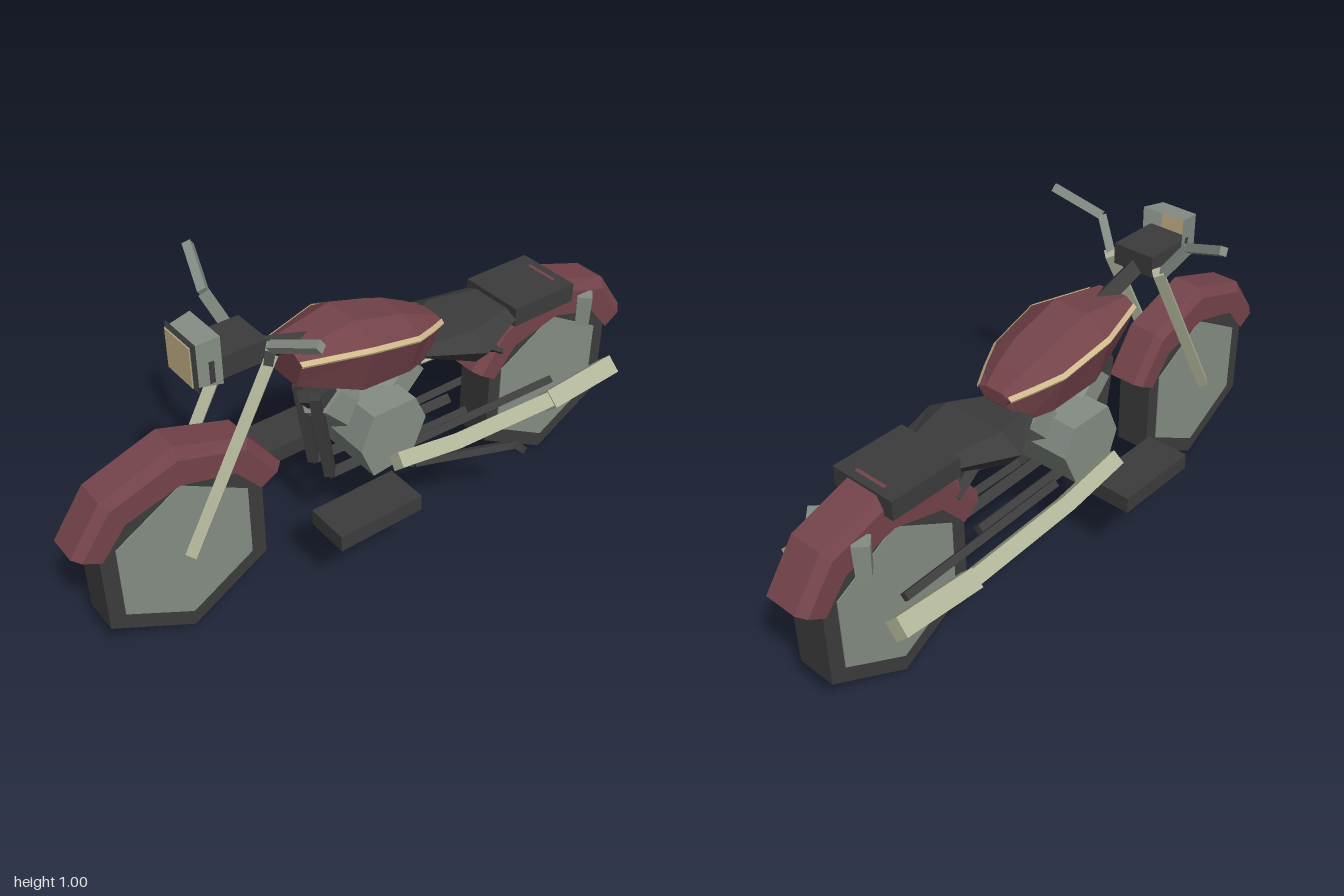
import * as THREE from 'three';

export function createModel() {
  const model = new THREE.Group();
  model.name = 'motorcycle';

  const paint = (name, color, side = THREE.FrontSide) => {
    const m = new THREE.MeshStandardMaterial({ color, flatShading: true, side });
    m.name = name;
    return m;
  };
  const red = paint('maroon paint', 0x74434a, THREE.DoubleSide);
  const dark = paint('black rubber', 0x3c3c3c);
  const grey = paint('grey metal', 0x848d84, THREE.DoubleSide);
  const chrome = paint('pale chrome', 0xb0b498);
  const tan = paint('tan trim', 0xcdb88c, THREE.DoubleSide);

  const add = (name, geometry, material, x = 0, y = 0, z = 0) => {
    const mesh = new THREE.Mesh(geometry, material);
    mesh.name = name;
    mesh.position.set(x, y, z);
    model.add(mesh);
    return mesh;
  };
  const box = (name, material, w, h, d, x, y, z) =>
    add(name, new THREE.BoxGeometry(w, h, d), material, x, y, z);

  // Straight faceted bar between two points
  const bar = (name, material, a, b, r, r2 = r, sides = 4) => {
    const p = new THREE.Vector3(...a), q = new THREE.Vector3(...b);
    const dir = q.clone().sub(p);
    const mesh = add(name, new THREE.CylinderGeometry(r2, r, dir.length(), sides), material);
    mesh.position.copy(p).add(q).multiplyScalar(0.5);
    mesh.quaternion.setFromUnitVectors(new THREE.Vector3(0, 1, 0), dir.normalize());
    return mesh;
  };
  const path = (name, material, pts, r) => {
    for (let i = 0; i < pts.length - 1; i++) bar(name, material, pts[i], pts[i + 1], r);
  };
  const mirror = (s, p) => [s * p[0], p[1], p[2]];

  // Skin over rings ordered front to back, each counterclockwise from the front
  const loft = (rings, closed = true, caps = closed) => {
    const n = rings[0].length, index = [];
    for (let i = 0; i < rings.length - 1; i++) {
      for (let j = 0; j < (closed ? n : n - 1); j++) {
        const a = i * n + j, b = i * n + (j + 1) % n;
        index.push(a, a + n, b + n, a, b + n, b);
      }
    }
    if (caps) {
      const e = (rings.length - 1) * n;
      for (let j = 1; j < n - 1; j++) index.push(0, j, j + 1, e, e + j + 1, e + j);
    }
    const g = new THREE.BufferGeometry();
    g.setAttribute('position', new THREE.Float32BufferAttribute(rings.flat(2), 3));
    g.setIndex(index);
    g.computeVertexNormals();
    return g;
  };

  // Six-sided wheels
  const wheel = (name, z, half) => {
    const hex = (r, w) => new THREE.CylinderGeometry(r, r, w, 6).rotateY(Math.PI / 2).rotateZ(Math.PI / 2);
    add(name + 'Tyre', hex(0.29, half * 2), dark, 0, 0.29, z);
    add(name + 'Disc', hex(0.235, half * 2 + 0.006), grey, 0, 0.29, z);
  };
  wheel('frontWheel', 0.675, 0.058);
  wheel('rearWheel', -0.668, 0.064);

  // Channel-shaped fenders: outer (z, y) and inner (z, y) arc points
  const fender = (name, z0, w, arc) => {
    const rings = arc.map(([oz, oy, iz, iy]) => {
      const mz = oz + (iz - oz) * 0.3, my = oy + (iy - oy) * 0.3, t = w * 0.7;
      return [[w, iy, z0 + iz], [w, my, z0 + mz], [t, oy, z0 + oz],
        [-t, oy, z0 + oz], [-w, my, z0 + mz], [-w, iy, z0 + iz]];
    });
    add(name, loft(rings, false), red);
  };
  const arc = [[0.322, 0.435, 0.245, 0.393], [0.222, 0.574, 0.168, 0.485], [0, 0.648, 0, 0.53],
    [-0.222, 0.574, -0.168, 0.485], [-0.322, 0.435, -0.245, 0.393]];
  fender('frontFender', 0.675, 0.066, arc);
  fender('rearFender', -0.672, 0.077, arc.map(([a, b, c, d]) => [a, b + 0.007, c, d]));

  // Fuel tank: z, top y, waist y, bottom y, top, waist and bottom half widths
  const tank = [
    [0.294, 0.78, 0.757, 0.675, 0.05, 0.085, 0.055],
    [0.1, 0.812, 0.757, 0.602, 0.06, 0.147, 0.1],
    [-0.075, 0.762, 0.715, 0.585, 0.055, 0.132, 0.09],
    [-0.155, 0.725, 0.695, 0.583, 0.045, 0.095, 0.065],
    [-0.22, 0.69, 0.678, 0.65, 0.03, 0.06, 0.035]
  ];
  add('fuelTank', loft(tank.map(([z, t, m, b, tw, mw, bw]) =>
    [[bw, b, z], [mw, m, z], [tw, t, z], [-tw, t, z], [-mw, m, z], [-bw, b, z]])), red);
  for (const s of [-1, 1]) {
    add('tankStripe', loft(tank.map(([z, , m, , , mw]) => {
      const ring = [[s * (mw + 0.001), m - 0.007, z], [s * (mw + 0.004), m, z], [s * (mw - 0.008), m + 0.01, z]];
      return s > 0 ? ring : ring.reverse();
    }), false), tan);
  }

  // Saddle and rear pad: z, top y, waist y, bottom y, waist half width
  add('saddle', loft([
    [-0.13, 0.612, 0.6, 0.585, 0.07], [-0.3, 0.642, 0.6, 0.54, 0.175], [-0.47, 0.637, 0.62, 0.588, 0.11]
  ].map(([z, t, m, b, w]) => [[w * 0.7, b, z], [w, m, z], [w * 0.6, t, z],
    [-w * 0.6, t, z], [-w, m, z], [-w * 0.7, b, z]])), dark);
  box('rearPad', dark, 0.22, 0.062, 0.24, 0, 0.622, -0.583);

  // Headlight shell, lens, housing and steering neck
  const square = (w, y0, y1, z) => [[w, y0, z], [w, y1, z], [-w, y1, z], [-w, y0, z]];
  add('headlightShell', loft([square(0.061, 0.81, 0.932, 0.606), square(0.073, 0.798, 0.943, 0.524)], true, false), grey);
  add('headlightRim', loft([square(0.062, 0.809, 0.933, 0.604), square(0.074, 0.797, 0.944, 0.596)], true, false), dark);
  box('headlightLens', tan, 0.12, 0.12, 0.006, 0, 0.871, 0.604);
  box('headlightHousing', dark, 0.14, 0.066, 0.175, 0, 0.843, 0.472);
  bar('steeringNeck', dark, [0, 0.825, 0.43], [0, 0.755, 0.2], 0.032);

  // Engine block, V cylinders and heads
  const block = new THREE.Shape([[0.1, 0.32], [0.145, 0.43], [0.1, 0.535], [-0.05, 0.535], [-0.09, 0.45], [-0.04, 0.335]]
    .map(([z, y]) => new THREE.Vector2(-z, y)));
  add('engineBlock', new THREE.ExtrudeGeometry(block, { depth: 0.296, bevelEnabled: false })
    .rotateY(Math.PI / 2).translate(-0.148, 0, 0), grey);
  for (const s of [-1, 1]) {
    bar('cylinder', grey, [0, 0.45, 0.03 + s * 0.03], [0, 0.575, 0.03 + s * 0.15], 0.075, 0.075, 6);
    bar('cylinderHead', dark, [0, 0.57, 0.03 + s * 0.145], [0, 0.605, 0.03 + s * 0.175], 0.06, 0.06, 6);
  }

  // Paired parts
  for (const s of [-1, 1]) {
    const m = (p) => mirror(s, p);
    bar('forkLeg', chrome, m([0.09, 0.3, 0.677]), m([0.09, 0.835, 0.388]), 0.023);
    path('handlebar', grey, [[0.085, 0.81, 0.395], [0.16, 0.92, 0.432], [0.31, 0.982, 0.385]].map(m), 0.018);
    path('exhaustPipe', chrome, [[0.207, 0.395, 0.065], [0.207, 0.358, -0.155], [0.207, 0.338, -0.54]].map(m), 0.033);
    bar('muffler', chrome, m([0.207, 0.335, -0.535]), m([0.207, 0.355, -0.805]), 0.042);
    box('footboard', dark, 0.14, 0.053, 0.285, s * 0.215, 0.277, 0.175);
    path('frameTube', dark, [[0.042, 0.6, 0.225], [0.042, 0.3, 0.18], [0.042, 0.285, -0.34]].map(m), 0.022);
    bar('swingarm', dark, m([0.075, 0.3, -0.05]), m([0.085, 0.29, -0.668]), 0.017);
    bar('seatStay', dark, m([0.05, 0.6, -0.28]), m([0.065, 0.49, -0.45]), 0.022);
    bar('rearSignal', grey, m([0.085, 0.465, -0.79]), m([0.085, 0.57, -0.79]), 0.03, 0.034);
  }

  // Side stand folded back on the left
  path('sideStand', dark, [[0.04, 0.295, 0.02], [0.14, 0.285, -0.06], [0.262, 0.29, -0.35], [0.3, 0.292, -0.352]], 0.016);

  return model;
}
